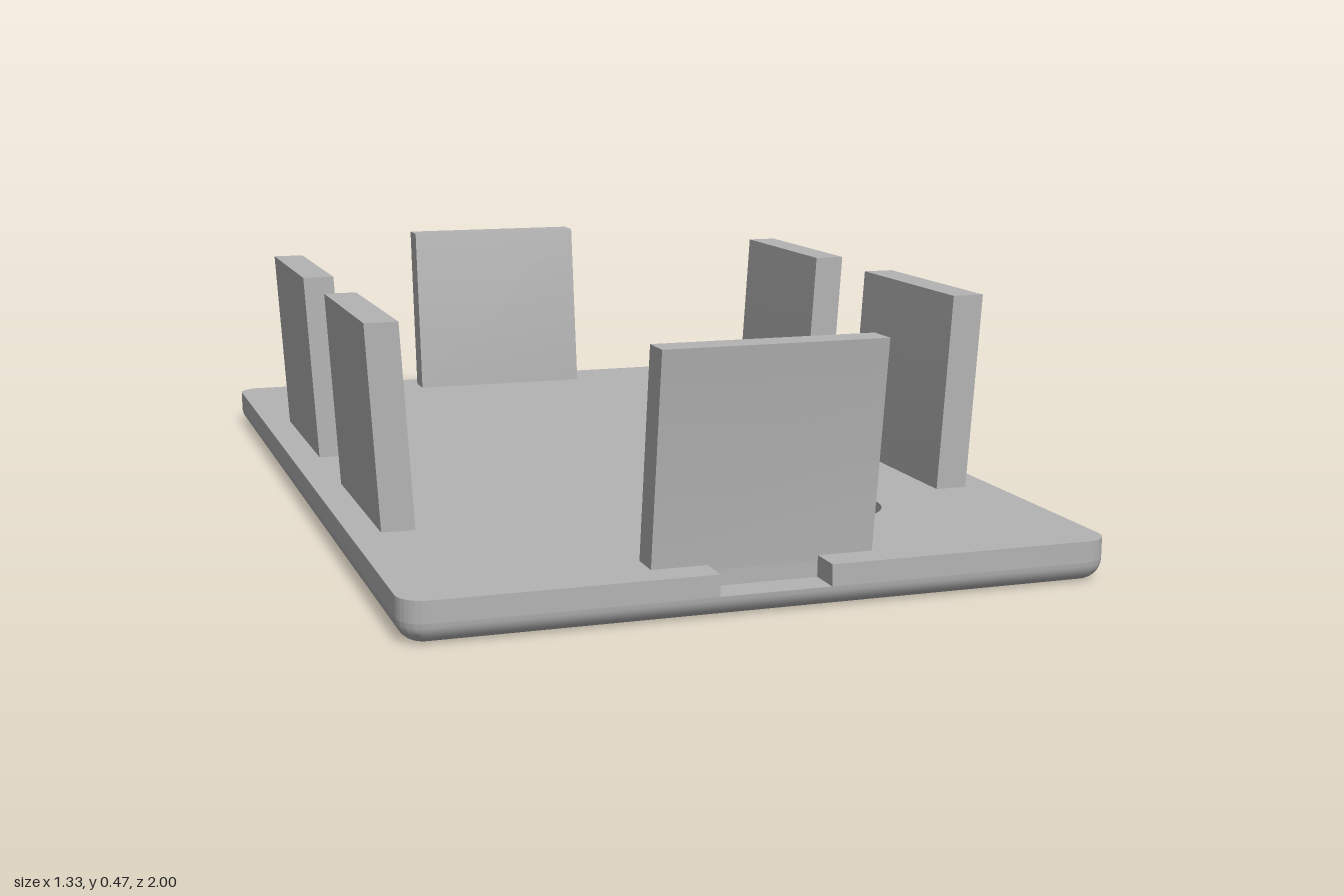
import * as THREE from 'three';
import { toCreasedNormals } from 'three/addons/utils/BufferGeometryUtils.js';

const grey = new THREE.MeshStandardMaterial({ color: 0xb3b3b3 });
grey.name = 'grey plastic';

const W = 0.665, D = 1, R = 0.05; // plate half width, half depth, corner radius
const H = 0.08, F = 0.04; // plate height, bottom rounding

// Plate outline in x/z, with two round holes and an optional notch in the front edge
function plateShape(notch) {
  const s = new THREE.Shape();
  s.moveTo(-W + R, -D);
  s.lineTo(W - R, -D);
  s.absarc(W - R, -D + R, R, -Math.PI / 2, 0);
  s.lineTo(W, D - R);
  s.absarc(W - R, D - R, R, 0, Math.PI / 2);
  if (notch) {
    s.lineTo(0.105, D);
    s.lineTo(0.105, 0.935);
    s.lineTo(-0.105, 0.935);
    s.lineTo(-0.105, D);
  }
  s.lineTo(-W + R, D);
  s.absarc(-W + R, D - R, R, Math.PI / 2, Math.PI);
  s.lineTo(-W, -D + R);
  s.absarc(-W + R, -D + R, R, Math.PI, Math.PI * 1.5);
  for (const [z, r] of [[0.365, 0.08], [0.605, 0.107]]) {
    s.holes.push(new THREE.Path().absarc(0.27, z, r, 0, Math.PI * 2, true));
  }
  return s;
}

// Extrude a plate layer downwards from height top
function plateLayer(notch, top, depth, steps) {
  const g = new THREE.ExtrudeGeometry(plateShape(notch), { depth, steps, bevelEnabled: false, curveSegments: 20 });
  g.rotateX(Math.PI / 2);
  g.translate(0, top, 0);
  return g;
}

// Pull the rim inwards along a quarter circle towards the underside
function roundBottom(g) {
  const p = g.attributes.position;
  for (let i = 0; i < p.count; i++) {
    const x = p.getX(i), z = p.getZ(i);
    const a = (p.getY(i) / F) * Math.PI / 2;
    const k = (R - F * (1 - Math.sin(a))) / R;
    const cx = THREE.MathUtils.clamp(x, -W + R, W - R);
    const cz = THREE.MathUtils.clamp(z, -D + R, D - R);
    p.setXYZ(i, cx + (x - cx) * k, F * (1 - Math.cos(a)), cz + (z - cz) * k);
  }
  return g;
}

// Upright tab leaning outwards: its section is drawn in (outward, up)
function tabGeometry(inner, outer, lean, width) {
  const top = 0.475, foot = H - 0.01;
  const s = new THREE.Shape([
    new THREE.Vector2(inner, foot), new THREE.Vector2(outer, foot),
    new THREE.Vector2(outer, H), new THREE.Vector2(outer + lean, top),
    new THREE.Vector2(inner + lean, top), new THREE.Vector2(inner, H),
  ]);
  const g = new THREE.ExtrudeGeometry(s, { depth: width, bevelEnabled: false });
  g.translate(0, 0, -width / 2);
  return toCreasedNormals(g, 0.3);
}

export function createModel() {
  const model = new THREE.Group();
  model.name = 'snapInCover';
  const add = (name, geometry) => {
    const m = new THREE.Mesh(geometry, grey);
    m.name = name;
    model.add(m);
    return m;
  };

  // Base plate: rounded lower half, notched upper half
  add('plateBottom', toCreasedNormals(roundBottom(plateLayer(false, F, F, 8)), 0.6));
  add('plateTop', toCreasedNormals(plateLayer(true, H, H - F, 1), 0.6));

  // Two tabs on each long side
  const sideTab = tabGeometry(0.54, 0.605, 0.025, 0.415);
  for (const side of [1, -1]) {
    for (const z of [0.338, -0.338]) {
      const tab = add(side > 0 ? 'leftTab' : 'rightTab', sideTab);
      tab.position.z = z;
      tab.rotation.y = side > 0 ? 0 : Math.PI;
    }
  }

  // One tab at each short end
  const endTab = tabGeometry(0.875, 0.937, 0.052, 0.42);
  add('frontTab', endTab).rotation.y = -Math.PI / 2;
  add('backTab', endTab).rotation.y = Math.PI / 2;

  return model;
}
